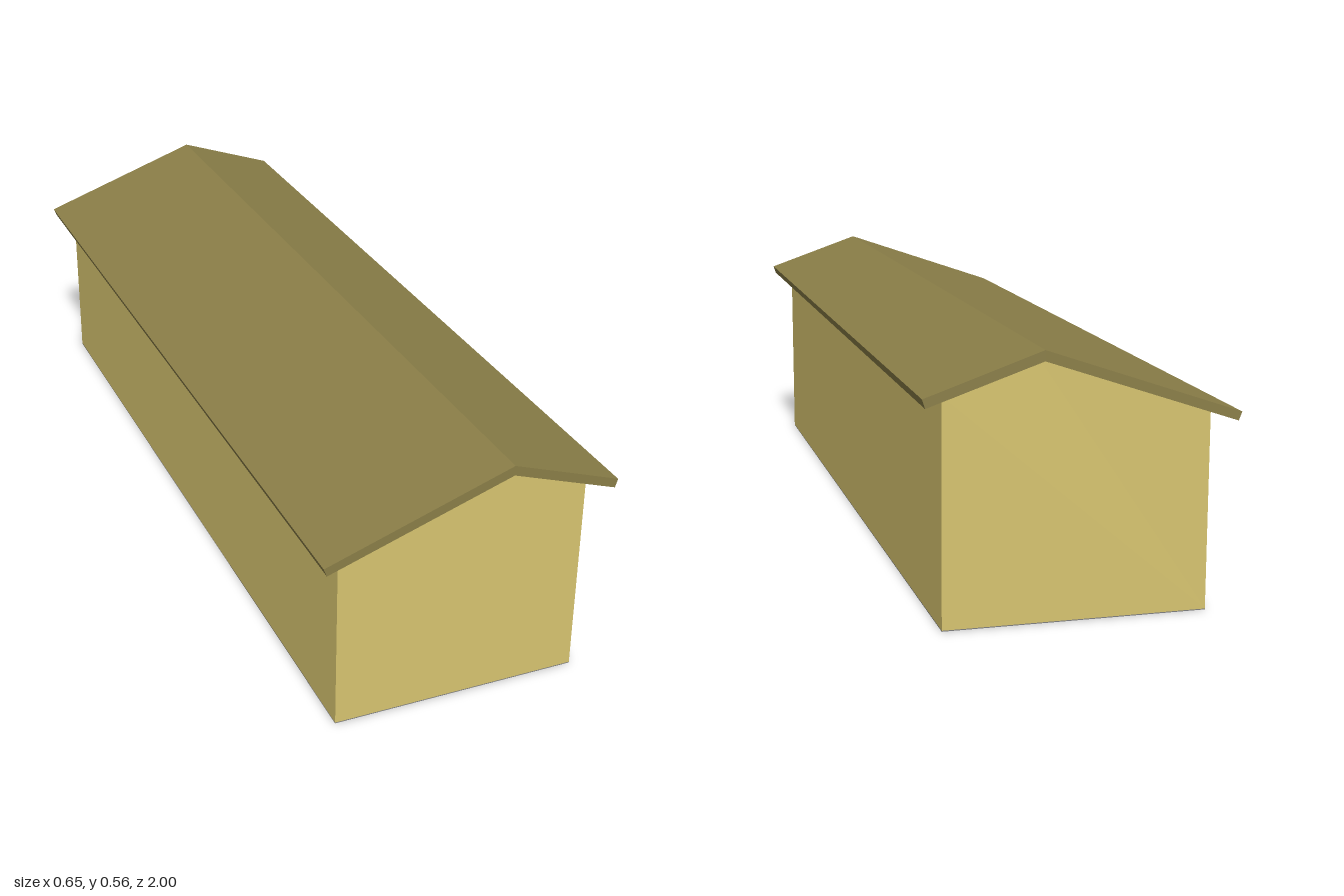
import * as THREE from 'three';

// Extrudes an x-y outline along z, centred on z = 0
function prism(name, points, length, color) {
  const shape = new THREE.Shape(points.map(([x, y]) => new THREE.Vector2(x, y)));
  const geometry = new THREE.ExtrudeGeometry(shape, { depth: length, bevelEnabled: false });
  geometry.translate(0, 0, -length / 2);
  const mesh = new THREE.Mesh(geometry, new THREE.MeshStandardMaterial({ color, flatShading: true }));
  mesh.name = name;
  return mesh;
}

export function createModel() {
  const group = new THREE.Group();
  group.name = 'longShed';

  const halfWidth = 0.278, wallLength = 1.912, floorTop = 0.002;
  const ridgeX = 0.083;

  // Walls with an off-centre gable
  group.add(prism('walls', [
    [-halfWidth, floorTop], [halfWidth, floorTop],
    [halfWidth, 0.476], [ridgeX, 0.543], [-halfWidth, 0.419],
  ], wallLength, 0xd8c570));

  // Thin grey floor
  group.add(prism('floor', [
    [-halfWidth, 0], [halfWidth, 0], [halfWidth, floorTop], [-halfWidth, floorTop],
  ], wallLength, 0x808080));

  // Roof slab with a long left slope and a short right slope
  group.add(prism('roof', [
    [-0.32, 0.405], [ridgeX, 0.543], [0.32, 0.462],
    [0.326, 0.481], [ridgeX, 0.565], [-0.327, 0.423],
  ], 2, 0x8b7f48));

  return group;
}
